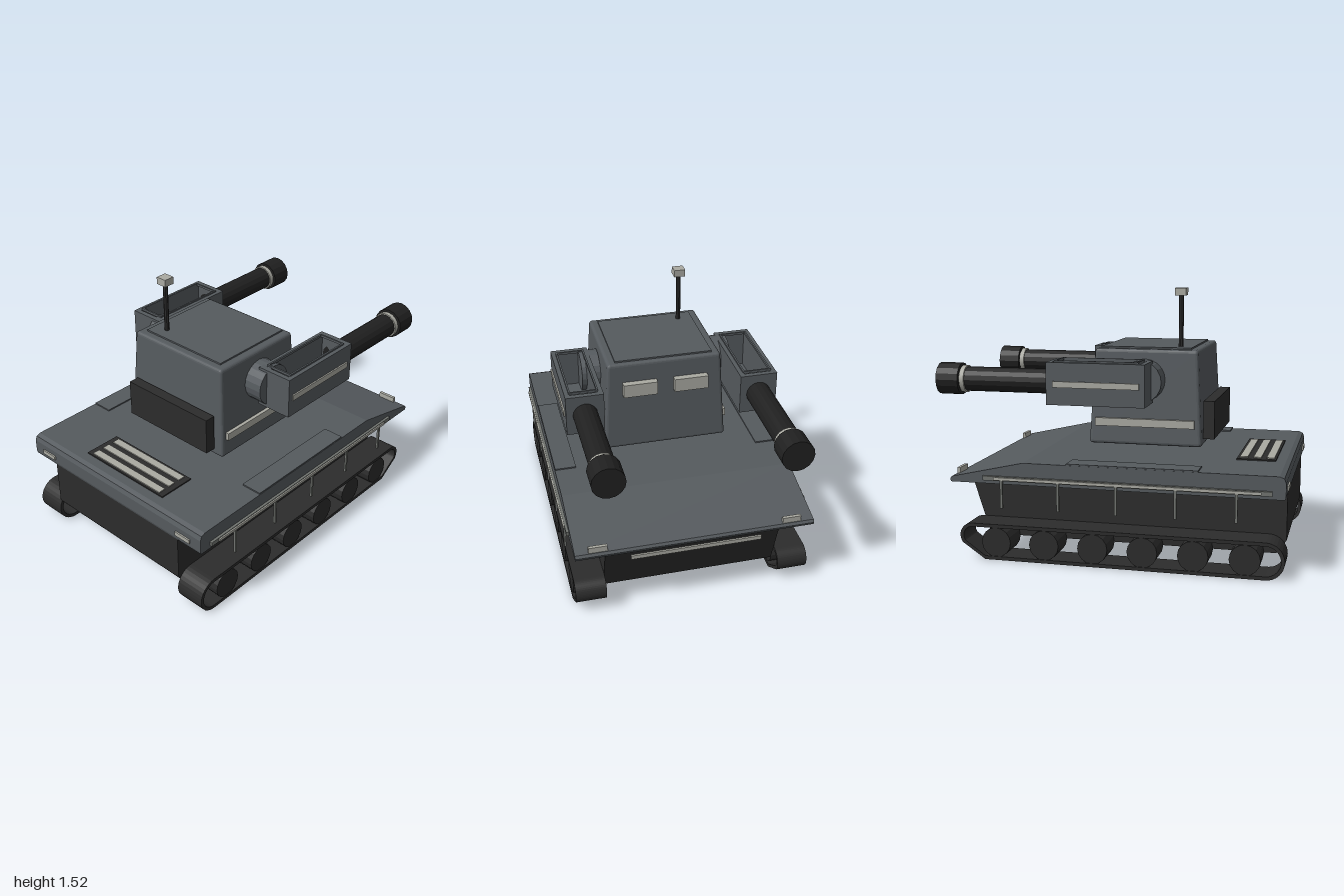
import * as THREE from 'three';
import { RoundedBoxGeometry } from 'three/addons/geometries/RoundedBoxGeometry.js';

const material = (name, color, extra = {}) => {
  const m = new THREE.MeshStandardMaterial({ color, ...extra });
  m.name = name;
  return m;
};

export function createModel() {
  const model = new THREE.Group();
  const armour = material('armour grey', 0x555a5e, { flatShading: true });
  const dark = material('dark grey', 0x2c2c2c, { flatShading: true });
  const black = material('gun black', 0x202020, { flatShading: true });
  const mid = material('rail grey', 0x70736f);
  const light = material('pale grey', 0xaaaaa2);

  const add = (name, geometry, mat, x = 0, y = 0, z = 0, parent = model) => {
    const mesh = new THREE.Mesh(geometry, mat);
    mesh.name = name;
    mesh.position.set(x, y, z);
    parent.add(mesh);
    return mesh;
  };
  // Box given by its limits on each axis
  const box = (name, mat, [x0, x1], [y0, y1], [z0, z1], parent = model) =>
    add(name, new THREE.BoxGeometry(x1 - x0, y1 - y0, z1 - z0), mat,
      (x0 + x1) / 2, (y0 + y1) / 2, (z0 + z1) / 2, parent);
  // Side profile in (z, y), extruded across x and centred
  const across = (shape, width) => {
    const g = new THREE.ExtrudeGeometry(shape, { depth: width, bevelEnabled: false, curveSegments: 8 });
    return g.translate(0, 0, -width / 2).rotateY(-Math.PI / 2);
  };
  const polygon = (pts) => new THREE.Shape(pts.map(([z, y]) => new THREE.Vector2(z, y)));
  // Cylinder along z between two limits
  const barrel = (name, mat, r, z0, z1, x, parent) =>
    add(name, new THREE.CylinderGeometry(r, r, z1 - z0, 16).rotateX(Math.PI / 2), mat, x, 1.447, (z0 + z1) / 2, parent);

  // Hull
  add('upperHull', across(polygon([
    [-0.885, 0.885], [0.98, 0.885], [0.985, 0.9], [0.985, 0.975], [0.975, 1.0], [0.95, 1.01],
    [-0.46, 1.01], [-0.88, 0.915], [-0.89, 0.9],
  ]), 1.35), armour);
  add('lowerHull', across(polygon([
    [-0.72, 0.545], [0.925, 0.545], [0.98, 0.62], [0.98, 0.885], [-0.83, 0.885],
  ]), 1.0), dark);

  // Engine grille
  box('grilleBase', dark, [-0.305, 0.305], [1.005, 1.017], [0.675, 0.895]);
  for (const z of [0.712, 0.788, 0.862])
    box('grilleBar', light, [-0.27, 0.27], [1.012, 1.023], [z - 0.022, z + 0.022]);

  // Rear light strip under the deck edge
  box('rearStrip', light, [-0.37, 0.37], [0.838, 0.862], [-0.888, -0.876]);

  // Track band outline, inset by t
  const trackLoop = (path, t) => {
    path.moveTo(-0.69, 0.445 + t);
    path.lineTo(0.885, 0.445 + t);
    path.absarc(0.885, 0.548, 0.103 - t, -Math.PI / 2, Math.PI / 2, false);
    path.lineTo(-0.765, 0.65 - t);
    path.absarc(-0.765, 0.578, 0.072 - t, Math.PI / 2, Math.PI * 1.2, false);
    path.closePath();
    return path;
  };

  for (const s of [-1, 1]) {
    const span = (a, b) => (s > 0 ? [a, b] : [-b, -a]);

    // Running gear
    const band = trackLoop(new THREE.Shape(), 0);
    band.holes.push(trackLoop(new THREE.Path(), 0.02));
    add('track', across(band, 0.175), dark, s * 0.5875);
    for (let i = 0; i < 6; i++)
      add('roadWheel', new THREE.CylinderGeometry(0.085, 0.085, 0.165, 16).rotateZ(Math.PI / 2),
        dark, s * 0.5875, 0.545, 0.775 - i * 0.28);

    // Side rail, its pale strip and hangers
    box('sideRail', mid, span(0.672, 0.69), [0.905, 0.93], [-0.69, 0.915]);
    box('sideStrip', light, span(0.688, 0.698), [0.91, 0.926], [-0.625, 0.86]);
    for (let i = 0; i < 5; i++)
      box('hanger', mid, span(0.68, 0.692), [0.75, 0.91], [0.722 - i * 0.3275, 0.736 - i * 0.3275]);

    // Deck panel and lamps
    box('deckPanel', armour, span(0.55, 0.673), [1.005, 1.018], [-0.21, 0.52]);
    box('frontLamp', light, span(0.495, 0.6), [0.92, 0.945], [0.98, 0.994]);
    box('rearLamp', light, span(0.495, 0.6), [0.915, 0.95], [-0.877, -0.858]);

    // Turret details
    box('turretSideStrip', light, span(0.352, 0.376), [1.185, 1.23], [-0.125, 0.445]);
    box('rearWindow', light, span(0.05, 0.25), [1.425, 1.505], [-0.182, -0.14]);

    // Gun pod, open on top
    const pod = new THREE.Group();
    pod.name = 'gunPod';
    model.add(pod);
    const rect = (path, x, z0, z1) => {
      path.moveTo(-x, -z1); path.lineTo(x, -z1); path.lineTo(x, -z0); path.lineTo(-x, -z0);
      path.closePath();
      return path;
    };
    const frame = (x, z0, z1, inset, y0, y1) => {
      const outline = rect(new THREE.Shape(), x, z0, z1);
      outline.holes.push(rect(new THREE.Path(), x - inset, z0 + inset, z1 - inset));
      return new THREE.ExtrudeGeometry(outline, { depth: y1 - y0, bevelEnabled: false })
        .rotateX(-Math.PI / 2).translate(0, y0, 0);
    };
    add('podWalls', frame(0.1075, -0.34, 0.215, 0.03, 1.345, 1.565), armour, s * 0.5, 0, 0, pod);
    add('podRim', frame(0.083, -0.3, 0.175, 0.01, 1.56, 1.574), armour, s * 0.5, 0, 0, pod);
    box('podFloor', armour, span(0.3925, 0.6075), [1.33, 1.345], [-0.34, 0.215], pod);
    box('podStrip', light, span(0.603, 0.616), [1.428, 1.462], [-0.3, 0.185], pod);
    add('trunnion', new THREE.CylinderGeometry(0.118, 0.118, 0.11, 20).rotateZ(Math.PI / 2),
      armour, s * 0.395, 1.45, 0.155, pod);

    // Gun
    barrel('gunBarrel', black, 0.07, -0.88, -0.31, s * 0.5, pod);
    barrel('gunCollar', light, 0.078, -0.865, -0.838, s * 0.5, pod);
    barrel('muzzle', black, 0.091, -1, -0.87, s * 0.5, pod);
  }

  // Turret: rounded box narrowed towards the roof
  const turret = new RoundedBoxGeometry(0.73, 0.54, 0.65, 2, 0.018);
  const p = turret.attributes.position;
  for (let i = 0; i < p.count; i++) {
    const k = 1 - 0.09 * (p.getY(i) / 0.54 + 0.5);
    p.setX(i, p.getX(i) * k);
    p.setZ(i, p.getZ(i) * k);
  }
  turret.computeVertexNormals();
  add('turret', turret, armour, 0, 1.35, 0.16);
  box('roofHatch', armour, [-0.285, 0.285], [1.615, 1.629], [-0.11, 0.41]);
  box('frontPlate', dark, [-0.305, 0.305], [1.12, 1.335], [0.485, 0.548]);

  // Antenna
  add('antennaRod', new THREE.CylinderGeometry(0.014, 0.014, 0.31, 8), dark, -0.2, 1.77, 0.335);
  box('antennaTip', light, [-0.233, -0.167], [1.918, 1.96], [0.303, 0.367]);

  return model;
}
